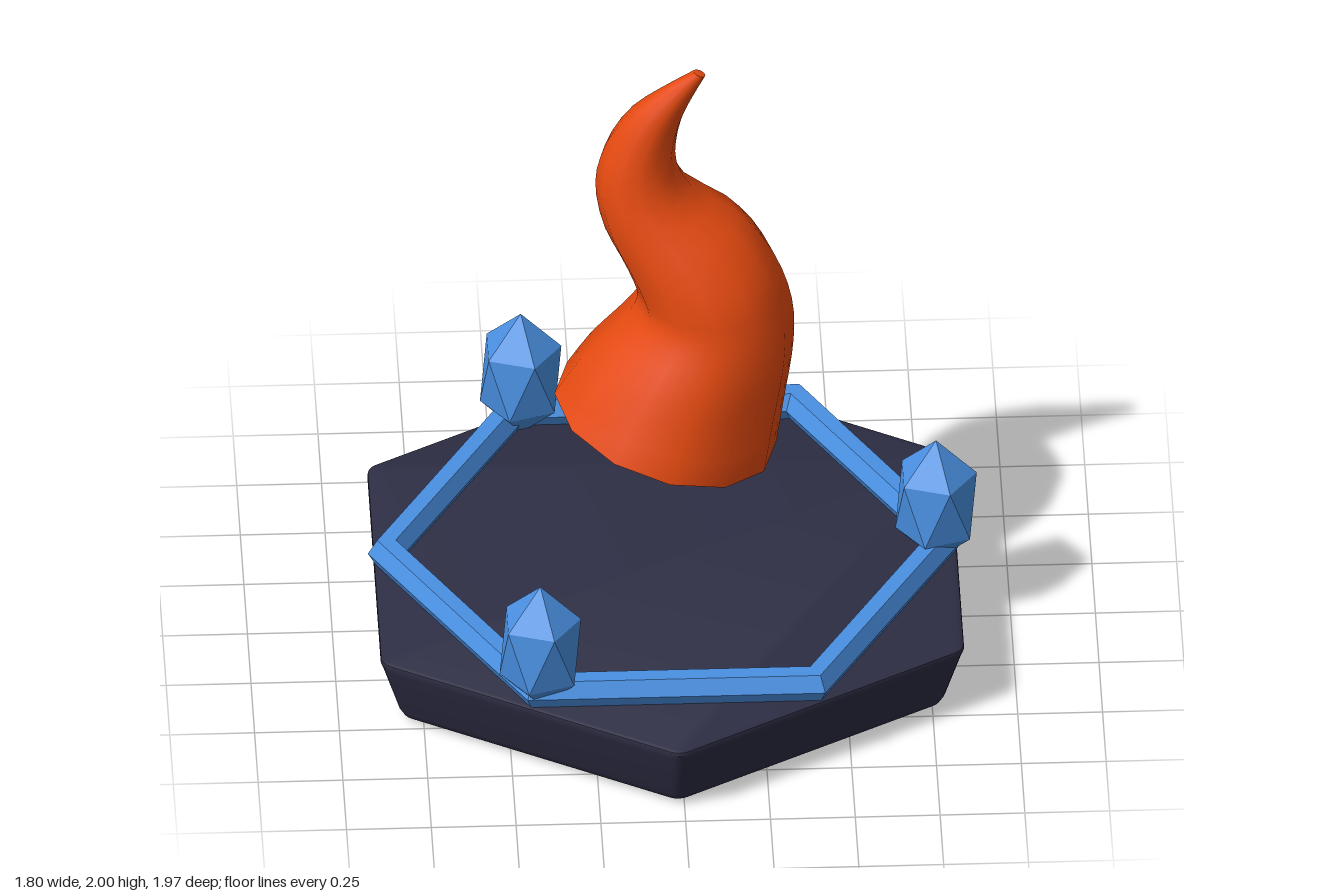
import * as THREE from 'three';
import { toCreasedNormals } from 'three/addons/utils/BufferGeometryUtils.js';
import { ConvexGeometry } from 'three/addons/geometries/ConvexGeometry.js';

const CENTER_X = -0.017;

// Skin a stack of closed rings (counter-clockwise from above) and cap both ends
function loft(rings, crease) {
  const n = rings[0].length;
  const points = rings.flat();
  const index = [];
  for (let i = 0; i < rings.length - 1; i++) {
    for (let j = 0; j < n; j++) {
      const a = i * n + j, b = i * n + (j + 1) % n;
      index.push(a, b, b + n, a, b + n, a + n);
    }
  }
  const last = (rings.length - 1) * n;
  for (let j = 1; j < n - 1; j++) {
    index.push(0, j + 1, j);
    index.push(last, last + j, last + j + 1);
  }
  const geometry = new THREE.BufferGeometry().setFromPoints(points);
  geometry.setIndex(index);
  return toCreasedNormals(geometry, crease);
}

// Hexagon with rounded corners, two of them pointing along z
function hexRing(apothem, y, round = 0.05, steps = 4) {
  const ring = [];
  const inner = (apothem - round) / Math.cos(Math.PI / 6);
  for (let k = 0; k < 6; k++) {
    const corner = Math.PI / 6 + k * Math.PI / 3;
    for (let s = 0; s <= steps; s++) {
      const a = corner + (s / steps - 0.5) * Math.PI / 3;
      ring.push(new THREE.Vector3(
        inner * Math.cos(corner) + round * Math.cos(a), y,
        -inner * Math.sin(corner) - round * Math.sin(a)));
    }
  }
  return ring;
}

function baseGeometry() {
  const profile = [[0.755, 0], [0.775, 0.004], [0.793, 0.017], [0.805, 0.04],
    [0.853, 0.205], [0.86, 0.225], [0.858, 0.235], [0.848, 0.24]];
  return loft(profile.map(([a, y]) => hexRing(a, y)), 0.6);
}

// Swaying flame: left edge x y, right edge x y, depth centre, half depth
function flameGeometry() {
  const stations = [
    [-0.345, 0.845, 0.31, 0.655, 0, 0.345],
    [-0.27, 0.965, 0.335, 0.83, 0, 0.305],
    [-0.19, 1.06, 0.355, 0.97, 0.005, 0.275],
    [-0.125, 1.14, 0.362, 1.08, 0.003, 0.25],
    [-0.1, 1.19, 0.355, 1.17, 0, 0.235],
    [-0.11, 1.24, 0.325, 1.28, 0, 0.22],
    [-0.15, 1.33, 0.27, 1.385, -0.012, 0.195],
    [-0.195, 1.42, 0.19, 1.47, -0.03, 0.17],
    [-0.22, 1.53, 0.06, 1.555, -0.045, 0.14],
    [-0.218, 1.62, 0.017, 1.64, -0.05, 0.118],
    [-0.185, 1.72, 0.015, 1.71, -0.05, 0.1],
    [-0.12, 1.83, 0.03, 1.8, -0.038, 0.075],
    [-0.04, 1.91, 0.055, 1.88, -0.022, 0.048],
    [0.065, 2.0, 0.1, 1.985, 0, 0.017],
  ];
  const spline = (pick) => new THREE.CatmullRomCurve3(stations.map(pick));
  const left = spline((s) => new THREE.Vector3(s[0], s[1], 0));
  const right = spline((s) => new THREE.Vector3(s[2], s[3], 0));
  const depth = spline((s) => new THREE.Vector3(s[4], s[5], 0));
  const rings = [];
  const count = (stations.length - 1) * 2;
  for (let i = 0; i <= count; i++) {
    const l = left.getPoint(i / count), r = right.getPoint(i / count);
    const d = depth.getPoint(i / count);
    const ring = [];
    for (let j = 0; j < 12; j++) {
      const a = j * Math.PI / 6;
      const p = l.clone().lerp(r, 0.5 + 0.5 * Math.cos(a));
      p.z = d.x - d.y * Math.sin(a);
      ring.push(p);
    }
    rings.push(ring);
  }
  return loft(rings, 1.1);
}

// Tall twenty-sided crystal: two twisted pentagons between two tips
function crystalGeometry() {
  const points = [new THREE.Vector3(0, 0.215, 0), new THREE.Vector3(0, -0.215, 0)];
  for (let i = 0; i < 5; i++) {
    const a = i * Math.PI * 0.4;
    const x = 0.12 * Math.cos(a), z = 0.12 * Math.sin(a);
    points.push(new THREE.Vector3(x, 0.096, z), new THREE.Vector3(-x, -0.096, z));
  }
  return new ConvexGeometry(points);
}

export function createModel() {
  const model = new THREE.Group();
  model.name = 'flameShrine';
  const material = (name, color) => {
    const m = new THREE.MeshStandardMaterial({ color });
    m.name = name;
    return m;
  };
  const slate = material('darkSlate', 0x2d2d44);
  const blue = material('crystalBlue', 0x4a90e2);
  const orange = material('flameOrange', 0xe64a10);

  const add = (name, geometry, mat, x = 0, y = 0, z = 0) => {
    const mesh = new THREE.Mesh(geometry, mat);
    mesh.name = name;
    mesh.position.set(x, y, z);
    model.add(mesh);
    return mesh;
  };

  add('base', baseGeometry(), slate, CENTER_X);

  // Faceted hexagonal ring resting on the base
  const ring = new THREE.TorusGeometry(0.823, 0.055, 6, 6).rotateX(Math.PI / 2).toNonIndexed();
  ring.computeVertexNormals();
  add('ring', ring, blue, CENTER_X, 0.28);

  // Crystals on every second corner of the ring
  const crystal = crystalGeometry();
  for (let i = 0; i < 3; i++) {
    const a = i * Math.PI * 2 / 3;
    add('crystal' + (i + 1), crystal, blue,
      CENTER_X + 0.797 * Math.cos(a), 0.425, 0.797 * Math.sin(a));
  }

  add('flame', flameGeometry(), orange);
  return model;
}
